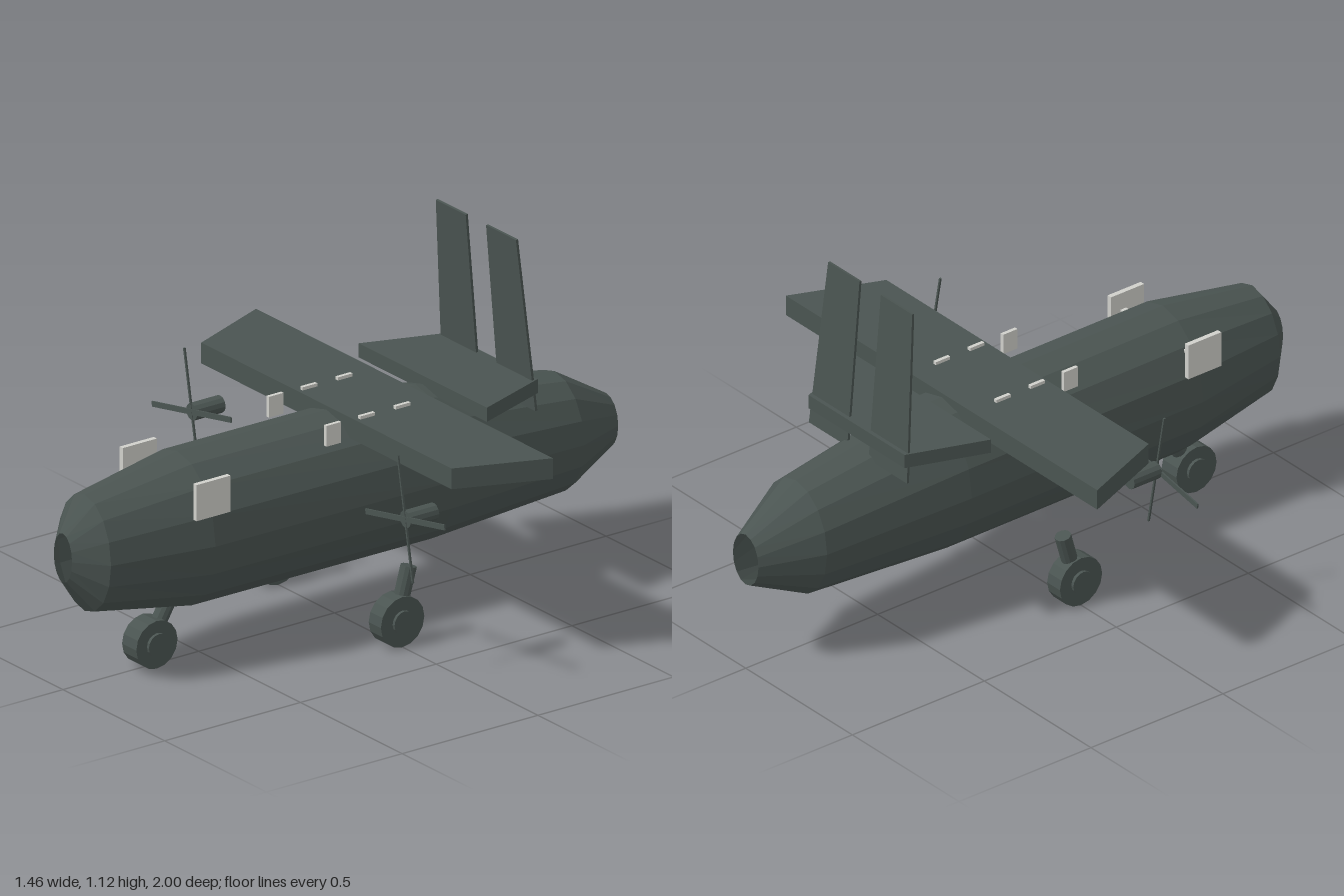
import * as THREE from 'three';

const paint = new THREE.MeshStandardMaterial({ color: 0x4a5451, flatShading: true, side: THREE.DoubleSide });
paint.name = 'dark grey green';
const pale = new THREE.MeshStandardMaterial({ color: 0xd0d0cb, flatShading: true });
pale.name = 'pale grey';

function add(parent, name, geometry, material, x = 0, y = 0, z = 0) {
  const mesh = new THREE.Mesh(geometry, material);
  mesh.name = name;
  mesh.position.set(x, y, z);
  parent.add(mesh);
  return mesh;
}

// Elliptical rings joined into an open-ended tube: [z, centre y, half width, half height]
function tubeFromRings(rings, sides) {
  const points = [], index = [];
  for (const [z, cy, rx, ry] of rings) {
    for (let i = 0; i < sides; i++) {
      const a = (i / sides) * Math.PI * 2;
      points.push(Math.sin(a) * rx, cy + Math.cos(a) * ry, z);
    }
  }
  for (let r = 0; r < rings.length - 1; r++) {
    for (let i = 0; i < sides; i++) {
      const j = (i + 1) % sides;
      const a = r * sides + i, b = r * sides + j, c = a + sides, d = b + sides;
      index.push(a, c, b, b, c, d);
    }
  }
  const g = new THREE.BufferGeometry();
  g.setAttribute('position', new THREE.Float32BufferAttribute(points, 3));
  g.setIndex(index);
  g.computeVertexNormals();
  return g;
}

// Flat trapezoid slab lying in xz, between y0 and y1
function slab(frontHalf, backHalf, zFront, zBack, y0, y1) {
  const s = new THREE.Shape([
    new THREE.Vector2(-frontHalf, -zFront), new THREE.Vector2(frontHalf, -zFront),
    new THREE.Vector2(backHalf, -zBack), new THREE.Vector2(-backHalf, -zBack),
  ]);
  const g = new THREE.ExtrudeGeometry(s, { depth: y1 - y0, bevelEnabled: false });
  return g.rotateX(-Math.PI / 2).translate(0, y0, 0);
}

// Wheel with hub discs and a strut leaning back to (topY, topZ)
function wheel(name, x, z, radius, width, topY, topZ) {
  const g = new THREE.Group();
  g.name = name;
  g.position.set(x, radius + 0.004, z);
  add(g, 'tyre', new THREE.CylinderGeometry(radius, radius, width, 16).rotateZ(Math.PI / 2), paint);
  add(g, 'hub', new THREE.CylinderGeometry(0.037, 0.037, width + 0.02, 16).rotateZ(Math.PI / 2), paint);
  const dy = topY - radius, dz = topZ - z;
  const strut = add(g, 'strut', new THREE.CylinderGeometry(0.025, 0.025, Math.hypot(dy, dz), 12), paint, 0, dy / 2, dz / 2);
  strut.rotation.x = Math.atan2(dz, dy);
  return g;
}

// Engine stub with four thin blades
function propeller(x) {
  const g = new THREE.Group();
  g.name = 'propeller';
  g.position.set(x, 0.505, 0);
  add(g, 'engine', new THREE.CylinderGeometry(0.027, 0.027, 0.105, 12).rotateX(Math.PI / 2), paint, 0, 0, 0.08);
  const blades = new THREE.Group();
  blades.name = 'blades';
  blades.position.z = 0.132;
  blades.rotation.z = 0.19;
  g.add(blades);
  add(blades, 'wideBlades', new THREE.BoxGeometry(0.395, 0.017, 0.005), paint);
  add(blades, 'narrowBlades', new THREE.BoxGeometry(0.006, 0.39, 0.006), paint);
  return g;
}

export function createModel() {
  const model = new THREE.Group();
  model.name = 'aircraft';

  add(model, 'fuselage', tubeFromRings([
    [-1, 0.375, 0.06, 0.085],
    [-0.81, 0.388, 0.147, 0.188],
    [-0.3, 0.415, 0.195, 0.242],
    [0.58, 0.418, 0.19, 0.243],
    [0.92, 0.42, 0.13, 0.185],
    [1, 0.423, 0.045, 0.078],
  ], 16), paint);

  add(model, 'wing', slab(0.615, 0.73, 0.03, -0.258, 0.605, 0.671), paint);
  add(model, 'tailplane', slab(0.315, 0.225, -0.325, -0.58, 0.635, 0.68), paint);

  for (const s of [1, -1]) {
    // Upright fin, leaning slightly forward
    const outline = new THREE.Shape([
      new THREE.Vector2(s * 0.05, 0), new THREE.Vector2(s * 0.23, 0),
      new THREE.Vector2(s * 0.197, 0.547), new THREE.Vector2(s * 0.05, 0.547),
    ]);
    const fin = add(model, 'fin', new THREE.ExtrudeGeometry(outline, { depth: 0.008, bevelEnabled: false }), paint, 0, 0.583, -0.575);
    fin.rotation.x = 0.085;

    model.add(propeller(s * 0.525));
    model.add(wheel('mainWheel', s * 0.305, 0, 0.08, 0.06, 0.24, -0.045));

    // Side windows and their small brackets
    add(model, 'sideWindow', new THREE.BoxGeometry(0.016, 0.115, 0.125), pale, s * 0.181, 0.573, 0.587);
    add(model, 'windowBracket', new THREE.BoxGeometry(0.03, 0.02, 0.022), pale, s * 0.145, 0.575, 0.56);

    // Row of upright plates through the wing root
    for (const z of [0.113, -0.012, -0.142]) {
      add(model, 'roofPlate', new THREE.BoxGeometry(0.012, 0.066, 0.054), pale, s * 0.142, 0.648, z);
    }
  }

  model.add(wheel('noseWheel', 0, 0.68, 0.076, 0.07, 0.22, 0.595));
  return model;
}
